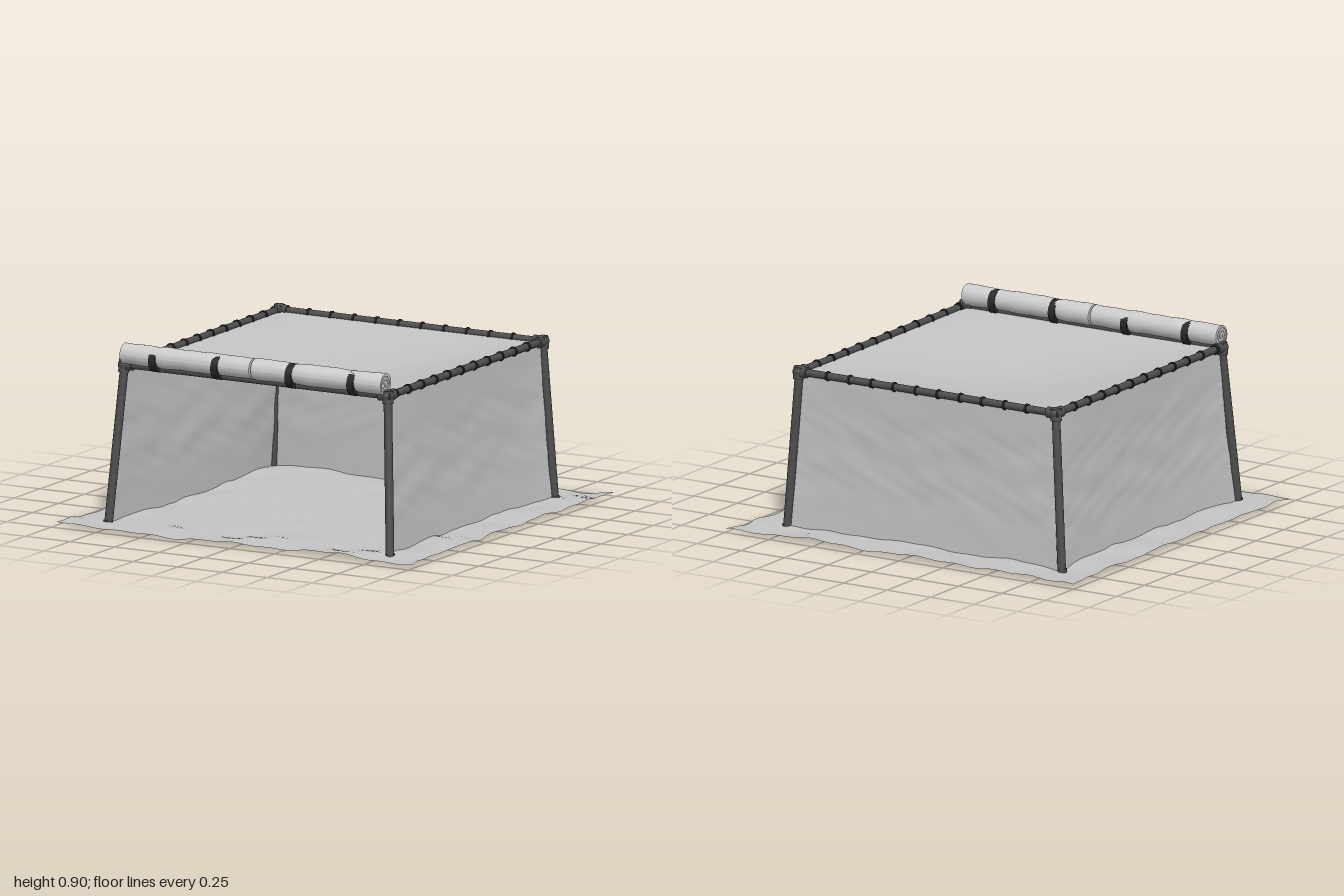
import * as THREE from 'three';

const material = (name, color, side = THREE.FrontSide) => {
  const m = new THREE.MeshStandardMaterial({ color, side });
  m.name = name;
  return m;
};

// Smooth, repeatable cloth ripple in the range -1..1
const ripple = (a, b) =>
  (Math.sin(a * 9 + 2.1 * Math.sin(b * 5 + 1)) +
    Math.sin(b * 13 + 1.7 * Math.sin(a * 7)) +
    0.7 * Math.sin(a * 23 - b * 17 + 2 * Math.sin(b * 9))) / 2.7;

export function createModel() {
  const canvas = material('canvas', 0xc2c2c2, THREE.DoubleSide);
  const rollCanvas = material('rolled canvas', 0xcbcbcb);
  const pole = material('pole', 0x4c4c4c);
  const webbing = material('webbing', 0x262626);

  const model = new THREE.Group();
  model.name = 'canvasShelter';
  const add = (name, geometry, mat, position = [0, 0, 0]) => {
    const mesh = new THREE.Mesh(geometry, mat);
    mesh.name = name;
    mesh.position.set(...position);
    model.add(mesh);
    return mesh;
  };

  // Cloth sheet: rule(u, v) gives a point for u, v in -1..1
  const sheet = (name, nu, nv, rule) => {
    const g = new THREE.PlaneGeometry(2, 2, nu, nv);
    const p = g.attributes.position;
    for (let i = 0; i < p.count; i++) p.setXYZ(i, ...rule(p.getX(i), p.getY(i)));
    g.computeVertexNormals();
    return add(name, g, canvas);
  };

  // Round bar between two points
  const bar = (name, a, b, radius) => {
    const from = new THREE.Vector3(...a), to = new THREE.Vector3(...b);
    const dir = to.clone().sub(from);
    const mesh = add(name, new THREE.CylinderGeometry(radius, radius, dir.length(), 16), pole);
    mesh.position.copy(from).lerp(to, 0.5);
    mesh.quaternion.setFromUnitVectors(new THREE.Vector3(0, 1, 0), dir.normalize());
    return mesh;
  };

  const W = 0.737, TOP = 0.787;

  // Ground sheet with pulled-out corners, ragged hem and a rumpled rim
  sheet('groundSheet', 100, 100, (u, v) => {
    const corner = (t) => Math.abs(t) ** 10;
    const hem = (t, s) => 0.007 * (1 - corner(t)) * Math.sin(t * 17 + s + 1.5 * Math.sin(t * 8 + s));
    const x = u * (0.965 + 0.033 * corner(v) + hem(v, u > 0 ? 1 : 4));
    const back = 0.956 + 0.042 * corner(u) + hem(u, 2) * 0.6;
    const front = 0.953 - 0.028 * Math.sin(u * 3.4) * (1 - corner(u)) + hem(u, 5) * 0.7;
    const z = -v * (v > 0 ? back : front);
    const rim = THREE.MathUtils.smoothstep(Math.max(Math.abs(u), Math.abs(v)), 0.6, 0.85);
    return [x, 0.016 + (0.003 + 0.008 * rim) * ripple(x * 1.3, z * 1.3), z];
  });

  // Sagging roof
  sheet('roof', 48, 48, (u, v) => {
    const sag = ((1 - u * u) * (1 - v * v)) ** 1.2;
    return [u * W, TOP - 0.005 - 0.094 * sag + 0.003 * sag * ripple(u, v), -v * W];
  });

  // Side walls: splayed at the corners, drawn in along the middle
  for (const side of [1, -1]) {
    sheet(side > 0 ? 'leftWall' : 'rightWall', 48, 32, (u, v) => {
      const down = (1 - v) / 2;
      const bow = Math.sin(Math.PI * down);
      const front = 0.745 + 0.068 * down - 0.026 * bow;
      const back = 0.738 + 0.037 * down - 0.008 * bow;
      const splay = 0.012 + 0.04 * Math.abs(u) ** 2.5;
      const x = W + splay * down - 0.008 * bow + 0.004 * bow * ripple(u + side, v);
      return [side * x, TOP - (TOP - 0.008) * down, u * (u > 0 ? front : back)];
    });
  }

  // Back wall
  sheet('backWall', 48, 32, (u, v) => {
    const down = (1 - v) / 2;
    const bow = Math.sin(Math.PI * down);
    const z = -W - (0.012 + 0.026 * Math.abs(u) ** 2.5) * down + 0.008 * bow;
    return [u * (W + 0.052 * down - 0.01 * bow), TOP - (TOP - 0.008) * down, z + 0.004 * bow * ripple(u, v + 2)];
  });

  // Legs, corner joints and feet
  for (const sx of [1, -1]) {
    for (const end of [1, -1]) {
      const footZ = end > 0 ? 0.812 : -0.772;
      const label = (end > 0 ? 'front' : 'back') + (sx > 0 ? 'Left' : 'Right');
      bar(label + 'Leg', [sx * 0.788, 0.012, footZ], [sx * W, TOP, end * 0.745], 0.021);
      add(label + 'Foot', new THREE.CylinderGeometry(0.023, 0.023, 0.024, 16), pole, [sx * 0.79, 0.012, footZ]);
      add(label + 'Joint', new THREE.SphereGeometry(0.031, 16, 12), pole, [sx * W, TOP, end * 0.745]);
      // Sleeves gripping the two bars and the leg
      bar(label + 'CrossSleeve', [sx * (W + 0.02), TOP, end * 0.745], [sx * 0.69, TOP, end * 0.745], 0.027);
      bar(label + 'SideSleeve', [sx * W, TOP, end * 0.765], [sx * W, TOP, end * 0.695], 0.027);
      bar(label + 'LegSleeve', [sx * W, TOP + 0.025, end * 0.745], [sx * (W + 0.004), 0.75, end * 0.748], 0.027);
    }
  }

  // Top bars
  bar('frontBar', [-W, TOP, 0.745], [W, TOP, 0.745], 0.018);
  bar('backBar', [-W, TOP, -0.745], [W, TOP, -0.745], 0.018);
  for (const sx of [1, -1]) bar(sx > 0 ? 'leftBar' : 'rightBar', [sx * W, TOP, -W], [sx * W, TOP, W], 0.018);

  // Lacing rings around the side and back bars
  const ring = new THREE.CylinderGeometry(0.024, 0.024, 0.011, 14);
  const sideRing = ring.clone().rotateX(Math.PI / 2);
  const backRing = ring.clone().rotateZ(Math.PI / 2);
  for (let i = 0; i < 11; i++) {
    for (const sx of [1, -1]) add('sideLacingRing', sideRing, webbing, [sx * W, TOP, -0.588 + i * 0.127]);
    if (i < 10) add('backLacingRing', backRing, webbing, [-0.571 + i * 0.127, TOP, -0.745]);
  }

  // Rolled-up front wall in two halves, pinched at the straps
  const straps = [-0.553, -0.205, 0.21, 0.557];
  const rollY = 0.843, rollZ = 0.748;
  const roll = (name, x0, x1) => {
    const g = new THREE.CylinderGeometry(0.052, 0.052, x1 - x0, 28, 40).rotateZ(Math.PI / 2);
    g.translate((x0 + x1) / 2, 0, 0);
    const p = g.attributes.position;
    for (let i = 0; i < p.count; i++) {
      const x = p.getX(i), y = p.getY(i), z = p.getZ(i);
      const a = Math.atan2(z, y);
      let k = 1 + 0.025 * Math.sin(x * 21 + Math.sin(a)) + 0.02 * Math.sin(x * 47 + 2 * a);
      for (const s of straps) k -= 0.05 * Math.exp(-(((x - s) / 0.03) ** 2));
      p.setXYZ(i, x, y * k, z * k);
    }
    g.computeVertexNormals();
    add(name, g, rollCanvas, [0, rollY, rollZ]);
  };
  roll('rightRoll', -0.735, -0.01);
  roll('leftRoll', 0.0, 0.727);

  // Spiral cloth edge on each end of the roll
  const spiral = [];
  for (let i = 0; i <= 30; i++) {
    const a = i * 0.5, r = 0.006 + 0.0013 * i;
    spiral.push(new THREE.Vector3(0, r * Math.cos(a), r * Math.sin(a)));
  }
  const spiralGeometry = new THREE.TubeGeometry(new THREE.CatmullRomCurve3(spiral), 90, 0.0025, 5);
  for (const x of [-0.735, 0.727]) add('rollEndSpiral', spiralGeometry, rollCanvas, [x, rollY, rollZ]);

  // Straps tying the roll to the front bar
  const strap = new THREE.CylinderGeometry(0.056, 0.056, 0.038, 28).rotateZ(Math.PI / 2).scale(1, 1.1, 1);
  for (const x of straps) add('rollStrap', strap, webbing, [x, 0.831, rollZ]);

  return model;
}
